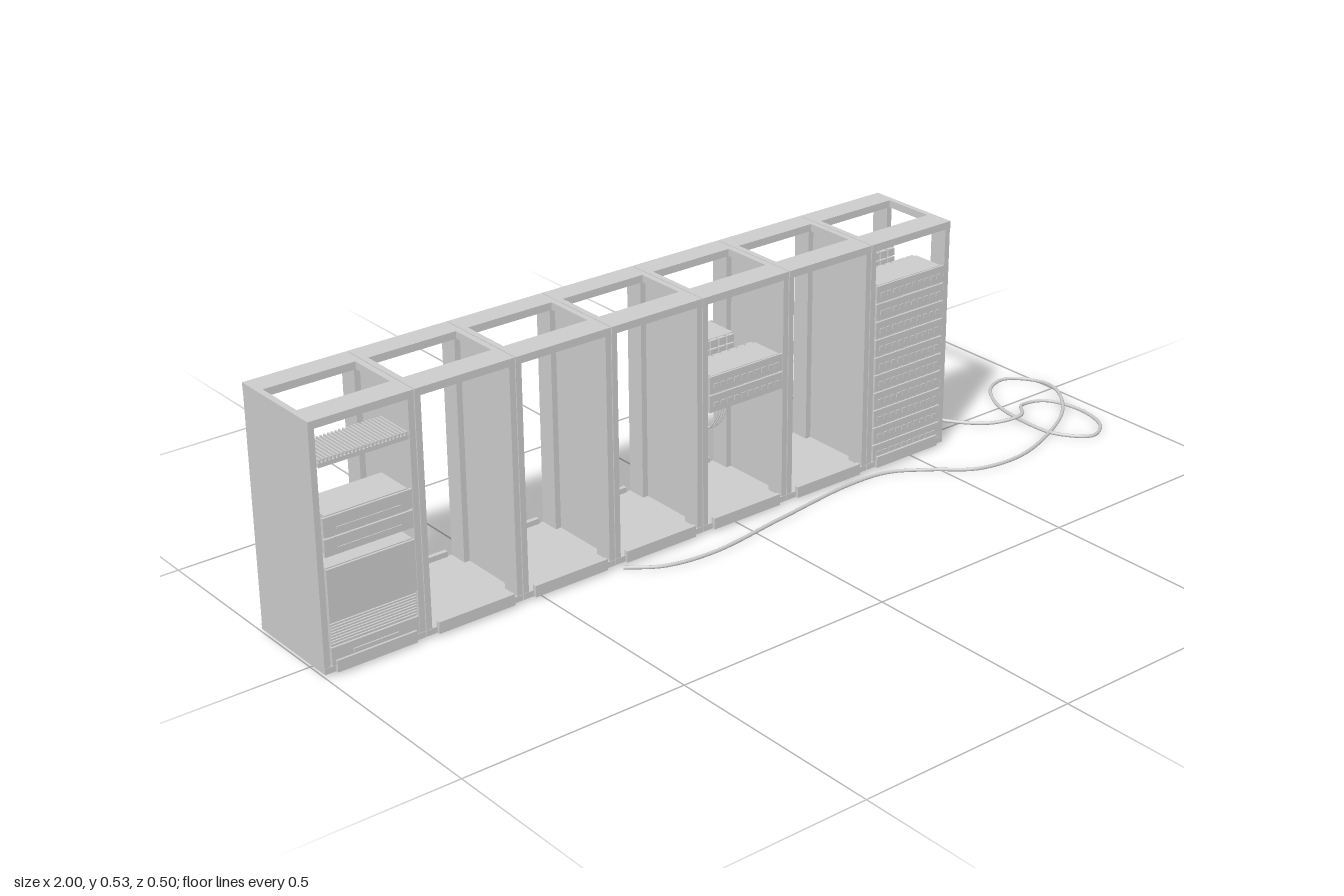
import * as THREE from 'three';

const grey = new THREE.MeshStandardMaterial({ color: 0xcccccc });
const BAYS = 7, PITCH = 0.228, X0 = -1, FRONT = 0.053, BACK = -0.175;
const BASE = 0.006, FLOOR = 0.019, TOP = 0.526, LID = 0.51;
const MID = (FRONT + BACK) / 2;

// Box given by its min and max on each axis
function box(parent, name, x0, x1, y0, y1, z0, z1) {
  const m = new THREE.Mesh(new THREE.BoxGeometry(x1 - x0, y1 - y0, z1 - z0), grey);
  m.position.set((x0 + x1) / 2, (y0 + y1) / 2, (z0 + z1) / 2);
  m.name = name;
  parent.add(m);
  return m;
}

function group(parent, name) {
  const g = new THREE.Group();
  g.name = name;
  parent.add(g);
  return g;
}

function cable(parent, name, points, radius, segments) {
  const curve = new THREE.CatmullRomCurve3(points.map(p => new THREE.Vector3(...p)));
  const m = new THREE.Mesh(new THREE.TubeGeometry(curve, segments, radius, 8), grey);
  m.name = name;
  parent.add(m);
}

// One rack bay: floor, skirts, posts, side panel and top frame
function rackBay(parent, i) {
  const g = group(parent, 'rackBay');
  const a = X0 + i * PITCH + 0.001, b = a + PITCH - 0.002, w = 0.013;
  box(g, 'floor', a, b, BASE, FLOOR, BACK, FRONT);
  box(g, 'frontSkirt', a + 0.024, b - 0.024, BASE, 0.031, FRONT - 0.003, 0.06);
  box(g, 'backSkirt', a + 0.024, b - 0.024, BASE, 0.031, -0.182, BACK + 0.003);
  for (const x of [a, b - w]) {
    box(g, 'frontPost', x, x + w, FLOOR, LID, 0.01, FRONT - 0.001);
    box(g, 'backPost', x, x + w, FLOOR, LID, BACK + 0.001, -0.13);
    box(g, 'topSideRail', x, x + w, LID, TOP, -0.123, -0.005);
  }
  box(g, 'sidePanel', a, a + 0.004, FLOOR, LID, -0.13, 0.01);
  box(g, 'topFrontRail', a, b, LID, TOP, -0.005, FRONT);
  box(g, 'topBackRail', a, b, LID, TOP, BACK, -0.123);
}

// Slim device with a face plate, front ports and rear connectors; faces +z
function device(parent, cx, y, h) {
  const g = group(parent, 'networkUnit');
  box(g, 'body', cx - 0.09, cx + 0.09, y + 0.001, y + h - 0.002, -0.025, 0.05);
  box(g, 'facePlate', cx - 0.097, cx + 0.097, y + 0.001, y + h - 0.003, 0.049, 0.0545);
  for (let k = 0; k < 10; k++) {
    const x = cx - 0.081 + k * 0.018;
    box(g, 'port', x - 0.006, x + 0.006, y + h * 0.3, y + h * 0.55, 0.054, 0.0565);
  }
  for (const r of [0, 1]) for (let k = 0; k < 8; k++) {
    const x = cx - 0.077 + k * 0.022, yy = y + h * (0.05 + r * 0.48);
    box(g, 'connector', x - 0.009, x + 0.009, yy, yy + h * 0.4, -0.0335, -0.024);
  }
}

// Stack of devices, optionally turned to face the rear
function stack(parent, name, cx, y, count, pitch, rear) {
  const g = group(parent, name);
  for (let i = 0; i < count; i++) device(g, 0, y + i * pitch, pitch);
  g.position.x = cx;
  if (rear) {
    g.rotation.y = Math.PI;
    g.position.z = 2 * MID;
  }
}

export function createModel() {
  const model = new THREE.Group();
  model.name = 'serverRackRow';
  const centre = i => X0 + (i + 0.5) * PITCH;

  for (let i = 0; i < BAYS; i++) rackBay(model, i);

  // Device stacks in the last and fifth bays
  stack(model, 'frontStack', centre(6), 0.02, 10, 0.0412, false);
  stack(model, 'rearStack', centre(6), 0.1024, 8, 0.0412, true);
  stack(model, 'frontPair', centre(4), 0.27, 2, 0.0412, false);
  stack(model, 'rearPair', centre(4), 0.27, 2, 0.0412, true);

  // First bay: finned shelf, two storage units and a tall cabinet
  const c = centre(0), s = group(model, 'storageBay');
  box(s, 'finnedShelf', c - 0.097, c + 0.097, 0.43, 0.439, -0.037, 0.053);
  for (let k = 0; k < 24; k++) {
    const x = c - 0.095 + k * 0.0081;
    box(s, 'shelfFin', x, x + 0.0035, 0.438, 0.446, -0.037, 0.053);
  }
  for (const [y0, y1] of [[0.248, 0.286], [0.289, 0.33]]) {
    box(s, 'storageUnit', c - 0.09, c + 0.09, y0, y1, -0.037, 0.05);
    box(s, 'storageFace', c - 0.097, c + 0.097, y0, y1 - 0.002, 0.049, 0.055);
    box(s, 'storageHandle', c - 0.07, c + 0.07, y0 + 0.01, y0 + 0.015, 0.054, 0.057);
  }
  box(s, 'cabinet', c - 0.095, c + 0.095, FLOOR, 0.224, -0.037, 0.05);
  box(s, 'cabinetDoor', c - 0.097, c + 0.097, 0.113, 0.222, 0.049, 0.055);
  for (let k = 0; k < 8; k++) {
    const y = 0.062 + k * 0.006;
    box(s, 'ventSlat', c - 0.095, c + 0.095, y, y + 0.003, 0.049, 0.054);
  }
  box(s, 'drawer', c - 0.097, c + 0.097, 0.021, 0.058, 0.049, 0.055);
  box(s, 'drawerHandle', c - 0.05, c + 0.05, 0.036, 0.042, 0.054, 0.058);

  // Patch cables hanging between the stacks
  for (let k = 0; k < 4; k++) {
    const d = k * 0.009;
    cable(model, 'patchCable', [[0.415 + d, 0.425, -0.034], [0.435 + d * 0.6, 0.415, -0.058],
      [0.443 + d * 0.4, 0.38, -0.068], [0.45 + d * 0.6, 0.345, -0.055], [0.455 + d, 0.335, -0.034]], 0.0015, 24);
    cable(model, 'patchCable', [[0.53 + d, 0.212, -0.09], [0.52 + d, 0.198, -0.06],
      [0.51 + d, 0.145, -0.04], [0.515 + d, 0.095, -0.06], [0.525 + d, 0.078, -0.092]], 0.0015, 24);
    cable(model, 'patchCable', [[0.025 + d, 0.285, -0.088], [0.03 + d * 0.8, 0.255, -0.06],
      [0.03 + d * 0.8, 0.21, -0.042], [0.018 + d * 0.8, 0.17, -0.06], [0 + d, 0.16, -0.088]], 0.0015, 24);
  }

  // Long power cable looping over the ground
  const path = [[-0.31, 0.07], [-0.24, 0.117], [-0.13, 0.134], [0.08, 0.107], [0.3, 0.08], [0.4, 0.09],
    [0.48, 0.14], [0.56, 0.2], [0.67, 0.214], [0.8, 0.176], [0.91, 0.118], [0.98, 0.03], [0.993, -0.05],
    [0.945, -0.1], [0.885, -0.085], [0.83, -0.01], [0.81, 0.086], [0.818, 0.18], [0.874, 0.243],
    [0.93, 0.215], [0.955, 0.13], [0.93, 0.045], [0.874, 0.027], [0.815, 0.079], [0.75, 0.053],
    [0.68, -0.02], [0.65, -0.1], [0.617, -0.18], [0.54, -0.23], [0.447, -0.246]];
  const raised = { 10: 0.011, 11: 0.014, 16: 0.006, 23: 0.014 };
  cable(model, 'groundCable', path.map(([x, z], i) => [x, raised[i] || 0.005, z]), 0.004, 260);

  return model;
}
